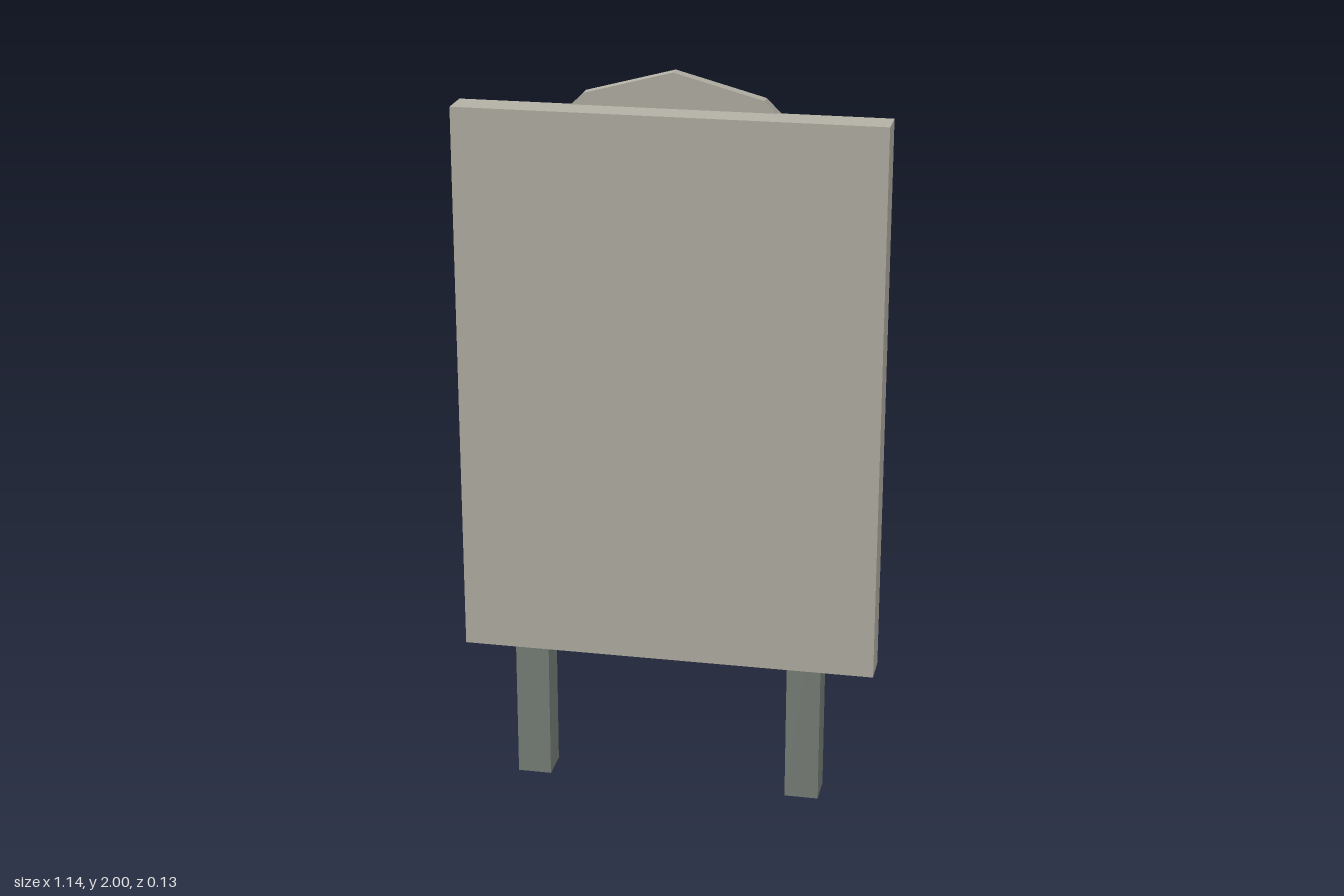
import * as THREE from 'three';

export function createModel() {
  const model = new THREE.Group();
  const material = (name, color) => {
    const m = new THREE.MeshStandardMaterial({ color });
    m.name = name;
    return m;
  };
  const paleGrey = material('pale grey', 0xb3b0a5);
  const legGrey = material('leg grey', 0x798079);
  const red = material('target red', 0xa45048);

  const add = (name, geometry, mat, x, y, z) => {
    const mesh = new THREE.Mesh(geometry, mat);
    mesh.name = name;
    mesh.position.set(x, y, z);
    model.add(mesh);
    return mesh;
  };

  // Upright board
  add('board', new THREE.BoxGeometry(1.14, 1.52, 0.095), paleGrey, 0, 1.145, 0.0135);

  // Square posts, let into the board just below its faces
  for (const side of [-1, 1]) {
    const name = side > 0 ? 'leftLeg' : 'rightLeg';
    add(name, new THREE.BoxGeometry(0.093, 0.76, 0.094), legGrey, side * 0.38, 0.38, 0.0135);
  }

  // Twelve-sided target disc on the back, with a corner at the top
  const sides = 12;
  const centreY = 1.525;
  const disc = new THREE.CylinderGeometry(0.475, 0.475, 0.037, sides).toNonIndexed();
  disc.rotateX(Math.PI / 2);
  disc.computeVertexNormals();
  add('targetDisc', disc, paleGrey, 0, centreY, -0.0455);

  // Painted ring facing the back
  const ring = new THREE.RingGeometry(0.192, 0.33, sides, 1);
  ring.rotateY(Math.PI);
  add('targetRing', ring, red, 0, centreY, -0.065);

  return model;
}
